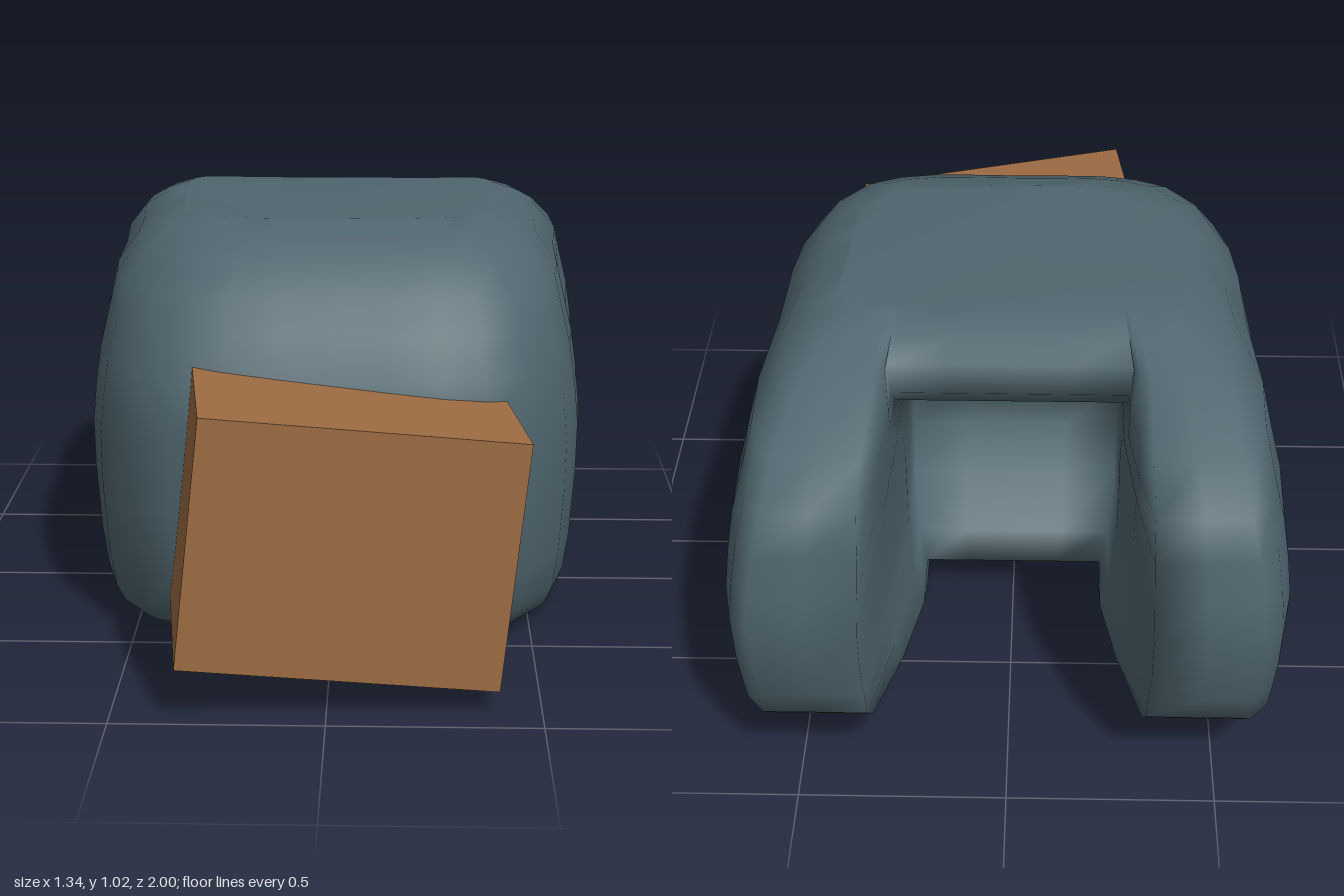
import * as THREE from 'three';

const lerp = THREE.MathUtils.lerp;
const clamp01 = (v) => THREE.MathUtils.clamp(v, 0, 1);

// Horizontal slices: height, half width, front z, lobe tip z, notch z, inner half width
const SLICES = [
  [0.00, 0.62, 0.50, -0.60, -0.06, 0.23],
  [0.10, 0.64, 0.56, -0.81, -0.19, 0.23],
  [0.20, 0.655, 0.585, -0.92, -0.19, 0.25],
  [0.28, 0.66, 0.60, -0.95, -0.02, 0.27],
  [0.37, 0.667, 0.61, -0.975, 0.07, 0.275],
  [0.50, 0.67, 0.61, -1.00, 0.06, 0.275],
  [0.60, 0.66, 0.61, -0.985, -0.06, 0.275],
  [0.70, 0.645, 0.59, -0.97, -0.28, 0.275],
  [0.80, 0.62, 0.525, -0.945, -0.47, 0.28],
  [0.88, 0.60, 0.46, -0.83, -0.56, 0.28],
  [0.96, 0.54, 0.39, -0.62, -0.56, 0.29],
  [1.00, 0.485, 0.30, -0.52, -0.50, 0.28],
  [1.03, 0.42, 0.20, -0.43, -0.42, 0.27],
];

// Half of one U-shaped slice, from front centre round the lobe to notch centre
function halfSlice([, w, zf, zb, zn, xi]) {
  const front = [[0, 1], [0.22, 1.005], [0.42, 1], [0.58, 0.96], [0.73, 0.86],
    [0.87, 0.6], [0.93, 0.32], [0.955, 0]].map(([u, f]) => [w * u, zf * f]);
  const side = [[0.96, 0.15], [0.967, 0.3], [1, 0.6], [0.99, 0.82], [0.955, 0.94], [0.89, 1]]
    .map(([u, f]) => [w * u, zb * f]);
  const tip = lerp(Math.max(xi, 0.27), w * 0.89, 0.2);
  return [...front, ...side,
    [lerp(tip, w * 0.89, 0.5), zb], [tip, zb],
    [lerp(xi, tip, 0.4), lerp(zb, zn, 0.35)], [xi, lerp(zb, zn, 0.7)],
    [xi, zn], [xi * 0.5, zn], [0, zn]];
}

// Underside: flat at the front, lobes lowest along their outer edges
function bottomLift(x, z) {
  const front = clamp01(1 + (z + 0.15) / 0.25);
  return Math.max(0.045 * front, 0.04 * clamp01((0.58 - Math.abs(x)) / 0.35),
    0.1 * clamp01((-z - 0.45) / 0.5));
}

function bodyGeometry() {
  const positions = [], index = [];
  const rings = SLICES.map((slice) => {
    const half = halfSlice(slice);
    const mirrored = half.slice(1, -1).reverse().map(([x, z]) => [-x, z]);
    return [...half, ...mirrored];
  });
  const n = rings[0].length;
  rings.forEach((ring, i) => ring.forEach(([x, z]) => {
    positions.push(x, SLICES[i][0] + (i === 0 ? bottomLift(x, z) : 0), z);
  }));
  // Walls between slices
  for (let i = 0; i < rings.length - 1; i++) {
    for (let j = 0; j < n; j++) {
      const a = i * n + j, b = i * n + (j + 1) % n;
      index.push(a, b, b + n, a, b + n, a + n);
    }
  }
  // Underside and top caps
  const cap = (i, flip) => {
    const outline = rings[i].map(([x, z]) => new THREE.Vector2(x, -z));
    for (const [a, b, c] of THREE.ShapeUtils.triangulateShape(outline, [])) {
      index.push(i * n + a, i * n + (flip ? c : b), i * n + (flip ? b : c));
    }
  };
  cap(0, true);
  cap(rings.length - 1, false);

  const geometry = new THREE.BufferGeometry();
  geometry.setAttribute('position', new THREE.Float32BufferAttribute(positions, 3));
  geometry.setIndex(index);
  geometry.computeVertexNormals();
  return geometry;
}

export function createModel() {
  const model = new THREE.Group();
  model.name = 'model';

  // Rounded body with two rear lobes and a hollow notch between them
  const body = new THREE.Mesh(bodyGeometry(),
    new THREE.MeshStandardMaterial({ color: 0x4f656e }));
  body.name = 'body';
  model.add(body);

  // Tilted block set into the front
  const depth = 0.5;
  const block = new THREE.Mesh(new THREE.BoxGeometry(0.755, 0.597, depth),
    new THREE.MeshStandardMaterial({ color: 0x9d6c43 }));
  block.name = 'frontBlock';
  block.rotation.set(0, 0.115, -0.107, 'YXZ');
  block.position.set(0.06, 0.397, 0.957)
    .add(new THREE.Vector3(0, 0, -depth / 2).applyEuler(block.rotation));
  model.add(block);

  return model;
}
